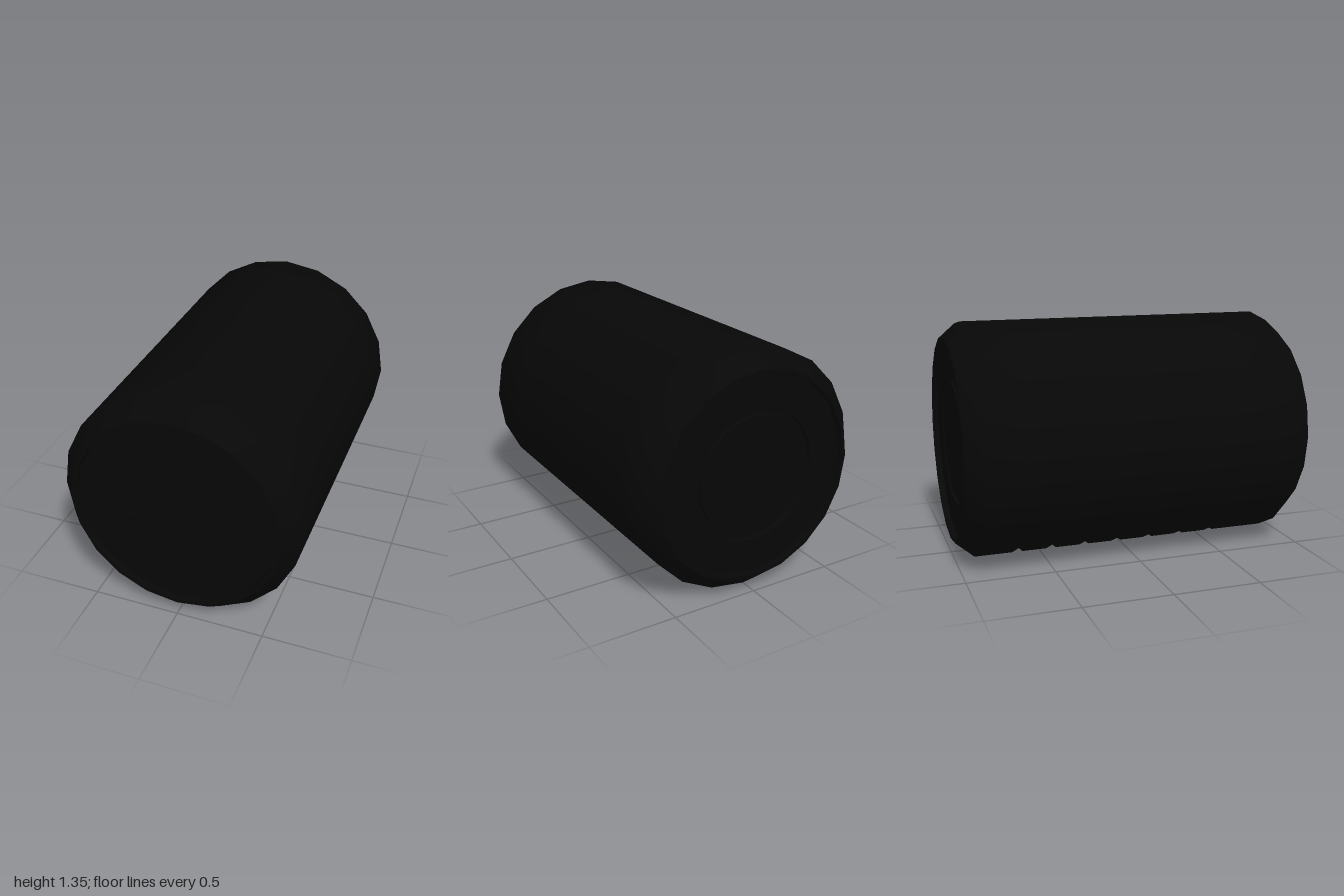
import * as THREE from 'three';
import { toCreasedNormals } from 'three/addons/utils/BufferGeometryUtils.js';

const SIDES = 20, R = 0.675, RIM = 0.59, LIP = 0.57, PANEL = 0.565;
const PANEL_Z = 0.965; // depth of the recessed end panels
const SLOT_FLOOR = 0.63, HALF_SLOT = 0.029;
const slots = [-0.65, -0.45, -0.249, -0.049, 0.151, 0.351, 0.553];

// point on the 20-sided section, counted from the bottom edge towards +x
function point(r, i, z) {
  const a = (i * Math.PI * 2) / SIDES;
  return [r * Math.sin(a), -r * Math.cos(a), z];
}

// sweep a [radius, z] profile around z; the profile may differ at each edge
function sweep(profileAt, crease) {
  const out = [];
  for (let i = -SIDES / 2; i < SIDES / 2; i++) {
    const p = profileAt(i), q = profileAt(i + 1);
    for (let k = 0; k < p.length - 1; k++) {
      const a = point(p[k][0], i, p[k][1]);
      const b = point(q[k][0], i + 1, q[k][1]);
      const c = point(q[k + 1][0], i + 1, q[k + 1][1]);
      const d = point(p[k + 1][0], i, p[k + 1][1]);
      if (p[k][0] > 0) out.push(...a, ...b, ...c);
      if (p[k + 1][0] > 0) out.push(...a, ...c, ...d);
    }
  }
  const g = new THREE.BufferGeometry();
  g.setAttribute('position', new THREE.Float32BufferAttribute(out, 3));
  return toCreasedNormals(g, crease);
}

// chamfered barrel; the slots underneath run out to the surface at their ends
function bodyProfile(i) {
  const floor = Math.abs(i) <= 1 ? SLOT_FLOOR : R;
  const profile = [[RIM, -1], [R, -0.9]];
  for (const z of slots) {
    const a = z - HALF_SLOT, b = z + HALF_SLOT;
    profile.push([R, a], [floor, a], [floor, b], [R, b]);
  }
  profile.push([R, 0.9], [RIM, 1]);
  return profile;
}

// corner points of a regular outline in the xy plane
function outline(r, x = 0, y = 0) {
  return Array.from({ length: SIDES }, (_, i) => {
    const [px, py] = point(r, i, 0);
    return new THREE.Vector2(x + px, y + py);
  });
}

export function createModel() {
  const model = new THREE.Group();
  const black = new THREE.MeshStandardMaterial({ color: 0x070707 });
  black.name = 'matte black';

  const add = (name, geometry, x = 0, y = 0, z = 0) => {
    const mesh = new THREE.Mesh(geometry, black);
    mesh.name = name;
    mesh.position.set(x, y + R, z);
    model.add(mesh);
  };

  add('body', sweep(bodyProfile, 0.8));

  // back cap: recessed panel with a ring groove
  const backProfile = [
    [0, -PANEL_Z], [0.335, -PANEL_Z], [0.34, -PANEL_Z + 0.02], [0.37, -PANEL_Z + 0.02],
    [0.375, -PANEL_Z], [PANEL, -PANEL_Z], [LIP, -1], [RIM, -1],
  ];
  add('backCap', sweep(() => backProfile, 0.5));

  // front cap: narrow rim around a recessed panel
  const rimProfile = [[RIM, 1], [LIP, 1], [PANEL, PANEL_Z]];
  add('frontRim', sweep(() => rimProfile, 0.5));

  // two small round sockets, each with a central pin
  const panel = new THREE.Shape(outline(PANEL));
  const socketProfile = [[0.04, 0], [0.04, -0.012], [0.025, -0.012], [0.023, 0], [0, 0]];
  for (const [x, y] of [[-0.27, 0.19], [-0.27, -0.085]]) {
    panel.holes.push(new THREE.Path(outline(0.04, x, y)));
    add('socket', sweep(() => socketProfile, 0.5), x, y, PANEL_Z);
  }
  add('frontPanel', new THREE.ShapeGeometry(panel), 0, 0, PANEL_Z);

  return model;
}
